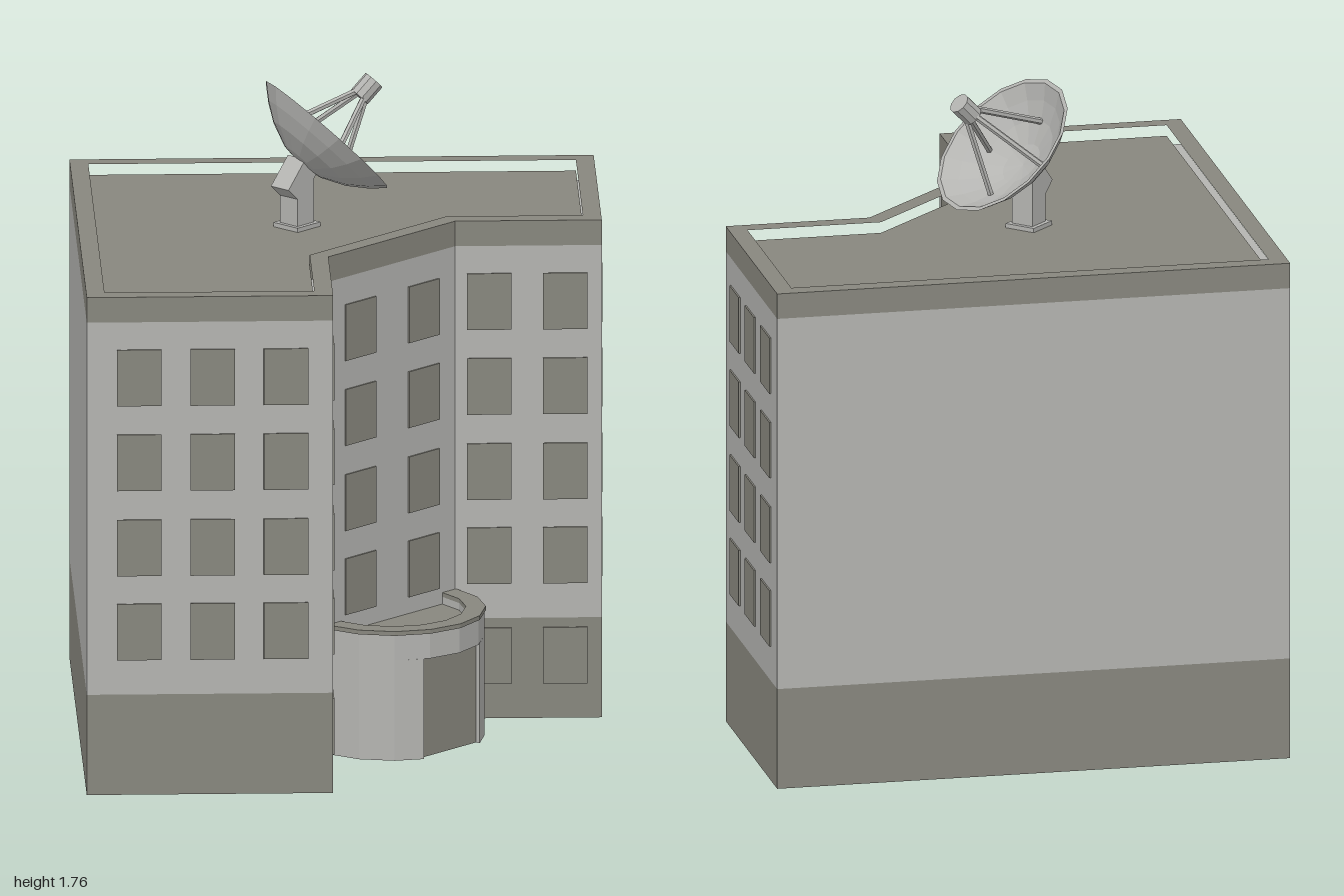
import * as THREE from 'three';

export function createModel() {
  const model = new THREE.Group();
  const wall = new THREE.MeshStandardMaterial({ color: 0xb4b4b1 });
  wall.name = 'pale concrete';
  const trim = new THREE.MeshStandardMaterial({ color: 0x88877e });
  trim.name = 'grey brown trim';

  const add = (name, geometry, material, parent = model) => {
    const mesh = new THREE.Mesh(geometry, material);
    mesh.name = name;
    parent.add(mesh);
    return mesh;
  };
  const flat = (geometry) => {
    const g = geometry.index ? geometry.toNonIndexed() : geometry;
    g.computeVertexNormals();
    return g;
  };
  // Upright prism from a plan given as [x, z] points, with an optional hole
  const prism = (plan, y0, y1, hole) => {
    const pts = (list) => list.map(([x, z]) => new THREE.Vector2(x, -z));
    const shape = new THREE.Shape(pts(plan));
    if (hole) shape.holes.push(new THREE.Path(pts(hole)));
    const g = new THREE.ExtrudeGeometry(shape, { depth: y1 - y0, bevelEnabled: false });
    return g.rotateX(-Math.PI / 2).translate(0, y0, 0);
  };

  // Main block: plinth, walls, parapet and sunken roof
  const mirrored = (back, half) => [back, ...half, ...half.map(([x, z]) => [-x, z]).reverse()];
  const plan = mirrored([0, -0.74], [[1, 0.26], [0.53, 0.73], [0.25, 0.45]]);
  const inner = mirrored([0, -0.67], [[0.93, 0.26], [0.53, 0.66], [0.27, 0.4]]);
  add('plinth', prism(plan, 0, 0.28), trim);
  add('walls', prism(plan, 0.28, 1.32), wall);
  add('parapet', prism(plan, 1.32, 1.39, inner), trim);
  add('roofDeck', prism(inner, 1.32, 1.36), trim);

  // Windows: thin plates in four rows
  const windows = new THREE.Group();
  windows.name = 'windows';
  model.add(windows);
  const pane = (x, z, y, angle) => {
    const m = add('window', new THREE.BoxGeometry(0.12, 0.157, 0.009), trim, windows);
    m.position.set(x, y, z);
    m.rotation.y = angle;
  };
  const rows = [0.455, 0.69, 0.928, 1.165];
  for (const s of [-1, 1]) {
    for (const y of rows) {
      pane(s * 0.125, 0.45, y, 0);
      for (const x of [0.62, 0.76, 0.9]) pane(s * x, 1.26 - x, y, s * Math.PI / 4);
    }
    // Wing faces towards the entrance also have a ground floor row
    for (const y of [0.175, ...rows]) {
      for (const x of [0.315, 0.46]) pane(s * x, x + 0.2, y, -s * Math.PI / 4);
    }
  }

  // Entrance drum with a recessed doorway
  const arc = (r) => Array.from({ length: 9 }, (_, i) => {
    const a = (i / 8) * Math.PI;
    return [r * Math.cos(a), 0.45 + r * Math.sin(a)];
  });
  const band = (r0, r1) => [...arc(r1), ...arc(r0).reverse()];
  const outer = arc(0.25);
  const notched = [...outer.slice(0, 3), [0.11, 0.672], [0.11, 0.65],
    [-0.11, 0.65], [-0.11, 0.672], ...outer.slice(6)];
  add('entranceWalls', prism(notched, 0, 0.28), wall);
  add('entranceLintel', prism(outer, 0.28, 0.325), wall);
  add('entranceRim', prism(band(0.2, 0.25), 0.325, 0.35), wall);
  add('entranceCoping', prism(band(0.2, 0.254), 0.35, 0.362), trim);
  add('entranceRoof', prism(arc(0.2), 0.32, 0.33), trim);
  add('door', new THREE.BoxGeometry(0.22, 0.28, 0.008).translate(0, 0.14, 0.654), trim);

  // Dish mount
  const n = new THREE.Vector3(0.64, 0.71, 0.3).normalize();
  const e2 = new THREE.Vector3().crossVectors(new THREE.Vector3(0.37, 0.07, -0.92), n).normalize();
  const e1 = new THREE.Vector3().crossVectors(n, e2);
  const tilt = new THREE.Matrix4().makeBasis(e1, n, e2);
  add('mountFoot', new THREE.BoxGeometry(0.09, 0.012, 0.09).translate(0, 1.366, 0.1), wall);
  add('mountPost', new THREE.BoxGeometry(0.065, 0.135, 0.065).translate(0, 1.427, 0.1), wall);
  const head = add('mountHead', new THREE.BoxGeometry(0.065, 0.1, 0.065), wall);
  head.quaternion.setFromUnitVectors(new THREE.Vector3(0, 1, 0),
    new THREE.Vector3(0.67, 0.74, 0).normalize());
  head.position.set(-0.01, 1.495, 0.1);

  // Satellite dish, built facing up and then tilted
  const dish = new THREE.Group();
  dish.name = 'satelliteDish';
  dish.quaternion.setFromRotationMatrix(tilt);
  dish.position.set(0.085, 1.605, 0.13);
  model.add(dish);
  const bowl = (r, depth) => [0, 0.3, 0.6, 0.82, 1].map(
    (t) => new THREE.Vector2(t * r, depth * (t * t - 1)));
  const profile = [...bowl(0.22, 0.107), ...bowl(0.208, 0.094).reverse()];
  add('bowl', flat(new THREE.LatheGeometry(profile, 16)), wall, dish);
  add('feedHorn', flat(new THREE.CylinderGeometry(0.03, 0.03, 0.06, 10).translate(0, 0.165, 0)), wall, dish);
  for (let i = 0; i < 4; i++) {
    const a = (i * Math.PI) / 2;
    const foot = new THREE.Vector3(0.125 * Math.cos(a), -0.065, 0.125 * Math.sin(a));
    const top = new THREE.Vector3(0.015 * Math.cos(a), 0.15, 0.015 * Math.sin(a));
    const strut = add('strut', flat(new THREE.CylinderGeometry(0.009, 0.009, foot.distanceTo(top), 6)), wall, dish);
    strut.position.copy(foot).add(top).multiplyScalar(0.5);
    strut.quaternion.setFromUnitVectors(new THREE.Vector3(0, 1, 0), top.sub(foot).normalize());
  }
  return model;
}
